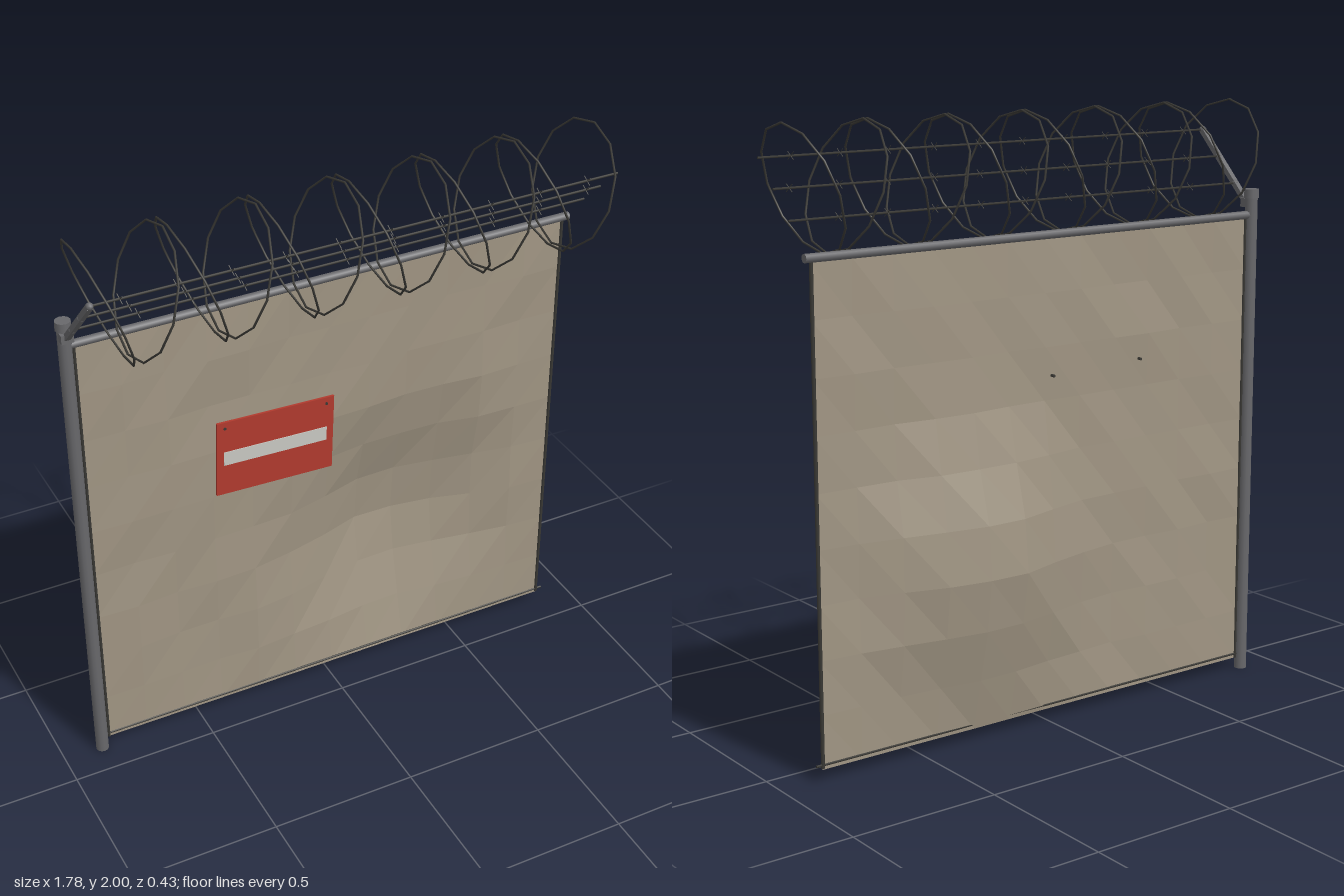
import * as THREE from 'three';

const mat = (color, extra = {}) => new THREE.MeshStandardMaterial({ color, ...extra });
const steel = mat(0x68686b);
const wire = mat(0x3a3935);
const sheet = mat(0xa09583, { flatShading: true, side: THREE.DoubleSide });
const red = mat(0xb03a2e);
const pale = mat(0xc8c8c2);

const Z = -0.108; // plane of the fence
const LEFT = -0.865, RIGHT = 0.885;

export function createModel() {
  const model = new THREE.Group();
  const add = (name, geometry, material, x = 0, y = 0, z = 0, parent = model) => {
    const mesh = new THREE.Mesh(geometry, material);
    mesh.name = name;
    mesh.position.set(x, y, z);
    parent.add(mesh);
    return mesh;
  };
  // Round bar between two points
  const bar = (name, a, b, r, material, sides = 8, parent = model) => {
    const p = new THREE.Vector3(...a), q = new THREE.Vector3(...b);
    const d = q.clone().sub(p);
    const mesh = add(name, new THREE.CylinderGeometry(r, r, d.length(), sides), material, 0, 0, 0, parent);
    mesh.position.copy(p).add(q).multiplyScalar(0.5);
    mesh.quaternion.setFromUnitVectors(new THREE.Vector3(0, 1, 0), d.normalize());
    return mesh;
  };

  // Post with cap, and top rail
  bar('post', [LEFT, 0, Z], [LEFT, 1.68, Z], 0.022, steel, 12);
  add('postCap', new THREE.CylinderGeometry(0.025, 0.026, 0.03, 12), steel, LEFT, 1.687, Z);
  bar('topRail', [LEFT, 1.615, Z], [RIGHT, 1.615, Z], 0.014, steel, 10);

  // Slanted arm carrying the barbed wires
  const arm = add('arm', new THREE.BoxGeometry(0.018, 0.335, 0.018), steel, LEFT, 1.765, 0.026);
  arm.rotation.x = Math.PI / 4;
  add('armBracket', new THREE.BoxGeometry(0.04, 0.03, 0.03), steel, LEFT, 1.655, Z + 0.018);

  // Three barbed wires, each with crossed barbs
  [[1.885, 0.145], [1.8, 0.06], [1.715, -0.025]].forEach(([y, z], row) => {
    const strand = new THREE.Group();
    strand.name = 'barbedWire';
    model.add(strand);
    bar('strand', [LEFT, y, z], [RIGHT, y, z], 0.004, wire, 6, strand);
    add('wireClip', new THREE.SphereGeometry(0.012, 8, 6), steel, LEFT, y, z, strand);
    for (let x = LEFT + 0.09 + row * 0.057; x < RIGHT - 0.02; x += 0.172) {
      bar('barb', [x - 0.003, y - 0.012, z - 0.012], [x + 0.003, y + 0.012, z + 0.012], 0.0016, wire, 4, strand);
      bar('barb', [x + 0.003, y - 0.012, z + 0.012], [x - 0.003, y + 0.012, z - 0.012], 0.0016, wire, 4, strand);
    }
  });

  // Concertina coil: rings tilted alternately one way and the other
  const coil = new THREE.Group();
  coil.name = 'concertinaCoil';
  model.add(coil);
  const ringGeometry = new THREE.TorusGeometry(0.2075, 0.0036, 6, 12);
  ringGeometry.rotateY(Math.PI / 2);
  for (let i = 0; i < 12; i++) {
    const ring = add('coilRing', ringGeometry, wire, -0.791 + i * 0.1462, 1.8, 0.004, coil);
    ring.rotation.z = (i % 2 ? -1 : 1) * 0.325;
  }

  // Faceted sheet, slightly uneven, pushed out towards the back
  const panel = new THREE.PlaneGeometry(1.705, 1.565, 12, 9);
  panel.translate(0.0125, 0.8225, 0);
  const pos = panel.attributes.position;
  const hump = (d) => (d < 1 ? Math.cos(d * Math.PI / 2) ** 2 : 0);
  for (let i = 0; i < pos.count; i++) {
    const x = pos.getX(i), y = pos.getY(i);
    const d = Math.hypot((x - 0.26) / 0.58, (y - 0.56) / (y < 0.56 ? 0.56 : 0.63));
    const inside = i % 13 > 0 && i % 13 < 12 && y > 0.1 && y < 1.55;
    const uneven = inside ? 0.006 * Math.sin(i * 12.9898 + Math.sin(i * 4.1) * 3) : 0;
    pos.setZ(i, Z - 0.108 * hump(d) + uneven);
  }
  panel.computeVertexNormals();
  add('panel', panel, sheet);

  // Edge rods and bottom tension wire
  bar('leftEdgeRod', [-0.838, 0.04, Z], [-0.838, 1.605, Z], 0.005, wire, 6);
  bar('rightEdgeRod', [0.862, 0.045, Z], [0.862, 1.605, Z], 0.006, wire, 6);
  bar('tensionWire', [LEFT, 0.055, Z], [RIGHT, 0.055, Z], 0.004, wire, 6);

  // Slightly crooked sign with a pale stripe and two bolts through the sheet
  const sign = new THREE.Group();
  sign.name = 'sign';
  sign.position.set(-0.198, 1.055, -0.09);
  sign.rotation.z = -0.037;
  model.add(sign);
  add('signPlate', new THREE.BoxGeometry(0.415, 0.275, 0.008), red, 0, 0, 0, sign);
  add('signStripe', new THREE.BoxGeometry(0.366, 0.05, 0.003), pale, 0, 0, 0.005, sign);
  for (const s of [-1, 1]) {
    bar('signBolt', [s * 0.18, 0.115, -0.034], [s * 0.18, 0.115, 0.007], 0.005, wire, 6, sign);
  }
  return model;
}
